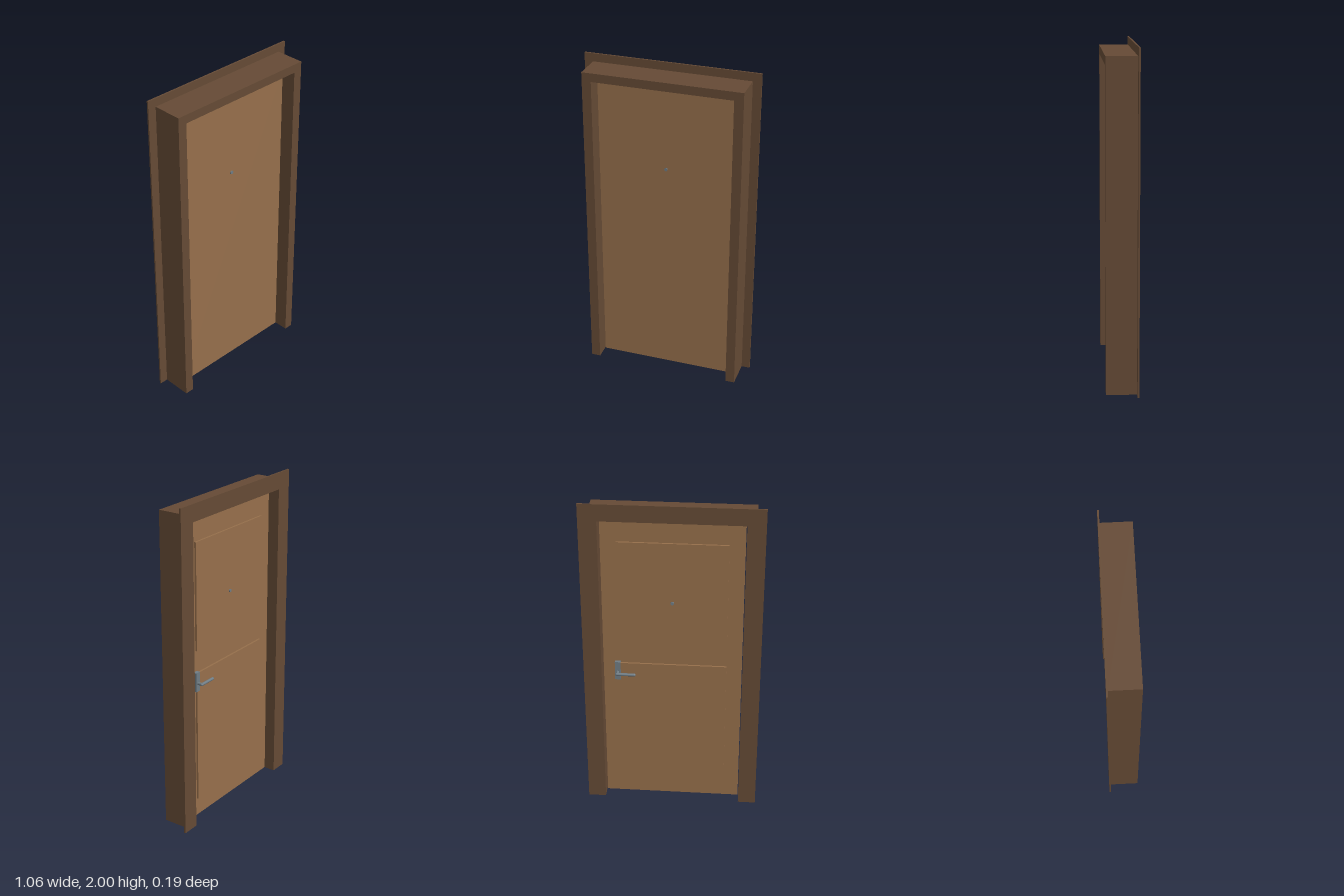
import * as THREE from 'three';

const frameBrown = new THREE.MeshStandardMaterial({ name: 'dark wood', color: 0x654a35 });
const doorBrown = new THREE.MeshStandardMaterial({ name: 'light wood', color: 0x966f4b });
const steel = new THREE.MeshStandardMaterial({ name: 'steel grey', color: 0x6f7c84 });

const OPEN_X = 0.422, OPEN_TOP = 1.898;   // doorway opening
const BACK = -0.027, FRONT = 0.008;       // faces of the door leaf

export function createModel() {
  const model = new THREE.Group();
  model.name = 'door';

  const add = (name, geometry, material, x = 0, y = 0, z = 0, parent = model) => {
    const mesh = new THREE.Mesh(geometry, material);
    mesh.name = name;
    mesh.position.set(x, y, z);
    parent.add(mesh);
    return mesh;
  };
  const box = (name, material, w, h, d, x, y, z, parent) =>
    add(name, new THREE.BoxGeometry(w, h, d), material, x, y, z, parent);

  // Three-sided surround, open at the floor
  const surround = (name, halfWidth, top, z0, z1) => {
    const shape = new THREE.Shape([
      [-halfWidth, 0], [-OPEN_X, 0], [-OPEN_X, OPEN_TOP], [OPEN_X, OPEN_TOP],
      [OPEN_X, 0], [halfWidth, 0], [halfWidth, top], [-halfWidth, top],
    ].map(([x, y]) => new THREE.Vector2(x, y)));
    const geometry = new THREE.ExtrudeGeometry(shape, { depth: z1 - z0, bevelEnabled: false });
    add(name, geometry, frameBrown, 0, 0, z0);
  };
  surround('frame', 0.478, 1.95, -0.085, 0.095);
  surround('backTrim', 0.53, 2, -0.095, -0.085);

  // Door leaf, with a small gap at the sides and top
  box('leaf', doorBrown, 0.834, 1.884, FRONT - BACK, 0, 0.947, (FRONT + BACK) / 2);

  // Raised panels on the back
  for (const [name, y0, y1] of [['lowerPanel', 0.12, 0.955], ['upperPanel', 1.095, 1.75]]) {
    box(name, doorBrown, 0.65, y1 - y0, 0.012, 0, (y0 + y1) / 2, BACK - 0.006);
  }

  // Peephole, showing on both sides
  const peephole = new THREE.Group();
  peephole.name = 'peephole';
  model.add(peephole);
  for (const [name, z] of [['peepholeFront', FRONT], ['peepholeBack', BACK - 0.012]]) {
    const ring = add(name, new THREE.CylinderGeometry(0.01, 0.01, 0.012, 20), steel, 0, 1.372, z, peephole);
    ring.rotation.x = Math.PI / 2;
  }

  // Lever handle on the back
  const handle = new THREE.Group();
  handle.name = 'handle';
  handle.position.set(0.33, 0.905, BACK);
  model.add(handle);
  box('backPlate', steel, 0.034, 0.12, 0.022, 0, 0, -0.011, handle);
  const neck = add('neck', new THREE.CylinderGeometry(0.009, 0.009, 0.04, 20), steel, 0, -0.008, -0.035, handle);
  neck.rotation.x = Math.PI / 2;
  const lever = add('lever', new THREE.CapsuleGeometry(0.009, 0.105, 6, 20), steel, -0.05, -0.008, -0.05, handle);
  lever.rotation.z = Math.PI / 2;

  return model;
}
